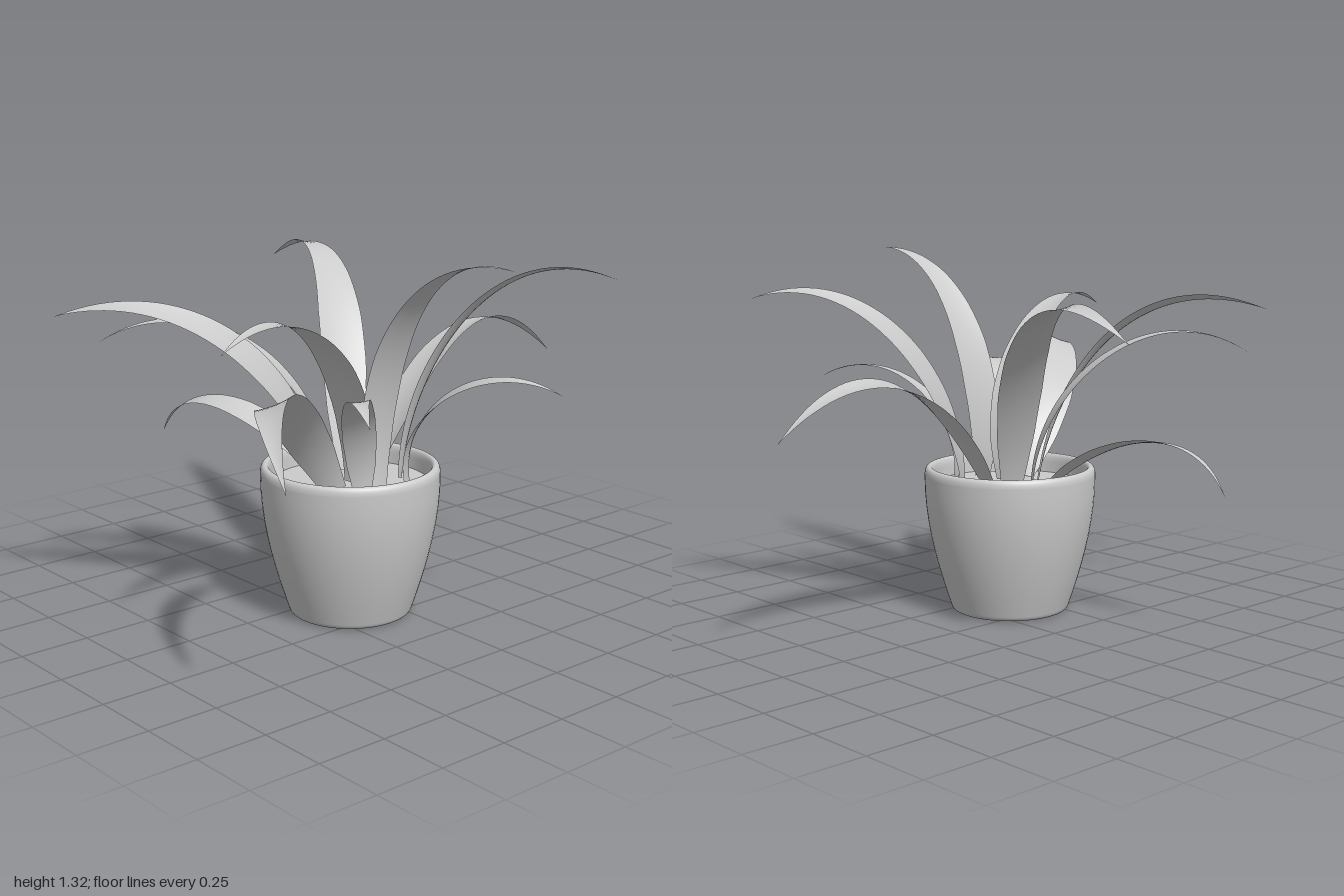
import * as THREE from 'three';

const CENTRE = { x: -0.13, z: 0.12 };
const LEAF_BASE_Y = 0.48;

// Half-width along a leaf, base to tip, as a fraction of its widest point
const PROFILE = [0.5, 0.85, 1, 0.97, 0.8, 0.57, 0.3, 0];

function widthAt(t) {
  const f = Math.min(t, 0.9999) * (PROFILE.length - 1);
  const i = Math.floor(f);
  return THREE.MathUtils.lerp(PROFILE[i], PROFILE[i + 1], f - i);
}

// Each leaf: base (x, z), then points one third and two thirds along, then the tip
const LEAVES = [
  [[-0.155, 0.3], [-0.15, 0.86, 0.325], [-0.14, 1.195, 0.51], [-0.13, 1.315, 0.89]],
  [[-0.06, 0.03], [0.06, 0.9, -0.15], [0.23, 1.17, -0.46], [0.34, 1.11, -0.9]],
  [[-0.14, -0.07], [-0.225, 0.63, -0.26], [-0.3, 0.675, -0.52], [-0.33, 0.52, -0.74]],
  [[-0.15, 0.02], [-0.265, 0.83, -0.065], [-0.5, 1.025, -0.25], [-0.77, 0.96, -0.48]],
  [[-0.21, 0.05], [-0.41, 0.85, 0.05], [-0.7, 1.1, -0.07], [-1, 1.1, -0.37]],
  [[-0.15, 0.16], [-0.245, 0.85, 0.215], [-0.52, 1.1, 0.31], [-0.89, 1.08, 0.41]],
  [[-0.26, 0.19], [-0.51, 0.79, 0.28], [-0.8, 0.925, 0.54], [-1, 0.77, 0.86]],
  [[-0.22, 0.29], [-0.27, 0.72, 0.33], [-0.385, 0.865, 0.46], [-0.52, 0.84, 0.67]],
  [[-0.01, 0.29], [0.005, 0.725, 0.355], [0.085, 0.875, 0.56], [0.23, 0.845, 0.78]],
  [[0.02, 0.22], [0.165, 0.86, 0.22], [0.4, 1.145, 0.35], [0.64, 1.17, 0.65]],
  [[0.02, 0.075], [0.3, 0.785, 0.015], [0.65, 0.93, -0.035], [1, 0.77, -0.005]],
];

// Smooth arch passing through all four points of a leaf
function leafSpine([[baseX, baseZ], ...rest]) {
  const base = new THREE.Vector3(baseX, LEAF_BASE_Y, baseZ);
  const [a, b, tip] = rest.map((p) => new THREE.Vector3(...p));
  const handle = (p, near, far, q) => new THREE.Vector3()
    .addScaledVector(p, -5 / 6).addScaledVector(near, 3)
    .addScaledVector(far, -1.5).addScaledVector(q, 1 / 3);
  return new THREE.CubicBezierCurve3(base, handle(base, a, b, tip), handle(tip, b, a, base), tip);
}

// Leaf: a ribbon square to the plane its spine bends in, with a shallow channel
function leafGeometry(curve) {
  const rows = 40;
  const cols = 6;
  const width = 0.045 + 0.097 * curve.getLength();
  const rise = curve.getPoint(1 / 3).sub(curve.getPoint(0));
  const fall = curve.getPoint(1).sub(curve.getPoint(2 / 3));
  const side = fall.cross(rise).normalize();
  const geometry = new THREE.PlaneGeometry(1, 1, cols, rows);
  const pos = geometry.attributes.position;
  for (let r = 0; r <= rows; r++) {
    const t = r / rows;
    const p = curve.getPointAt(t);
    const normal = side.clone().cross(curve.getTangentAt(t)).normalize();
    const half = Math.max(widthAt(t) * width * 0.5, 0.0008);
    for (let c = 0; c <= cols; c++) {
      const u = (c / cols) * 2 - 1;
      const v = p.clone().addScaledVector(side, u * half).addScaledVector(normal, u * u * half * 0.1);
      pos.setXYZ(r * (cols + 1) + c, v.x, v.y, v.z);
    }
  }
  geometry.computeVertexNormals();
  return geometry;
}

// Pot outline: flat base, bellied wall, rounded rim and short inner wall
function potOutline() {
  const path = new THREE.Path();
  path.moveTo(0, 0);
  path.lineTo(0.2, 0);
  path.quadraticCurveTo(0.216, 0, 0.222, 0.02);
  path.bezierCurveTo(0.255, 0.12, 0.319, 0.31, 0.317, 0.51);
  path.quadraticCurveTo(0.316, 0.542, 0.298, 0.542);
  path.quadraticCurveTo(0.283, 0.542, 0.282, 0.5);
  path.lineTo(0.278, 0.44);
  return path.getPoints(10);
}

export function createModel() {
  const group = new THREE.Group();
  const material = new THREE.MeshStandardMaterial({ color: 0xcccccc });
  const leafMaterial = new THREE.MeshStandardMaterial({ color: 0xcccccc, side: THREE.DoubleSide });

  const pot = new THREE.Mesh(new THREE.LatheGeometry(potOutline(), 64), material);
  pot.name = 'pot';
  pot.position.set(CENTRE.x, 0, CENTRE.z);
  group.add(pot);

  // Soil disc inside the rim
  const soil = new THREE.Mesh(new THREE.CircleGeometry(0.283, 64), material);
  soil.name = 'soil';
  soil.rotation.x = -Math.PI / 2;
  soil.position.set(CENTRE.x, 0.47, CENTRE.z);
  group.add(soil);

  // Arching leaves
  const leaves = new THREE.Group();
  leaves.name = 'leaves';
  for (const points of LEAVES) {
    const leaf = new THREE.Mesh(leafGeometry(leafSpine(points)), leafMaterial);
    leaf.name = 'leaf';
    leaves.add(leaf);
  }
  group.add(leaves);

  return group;
}
